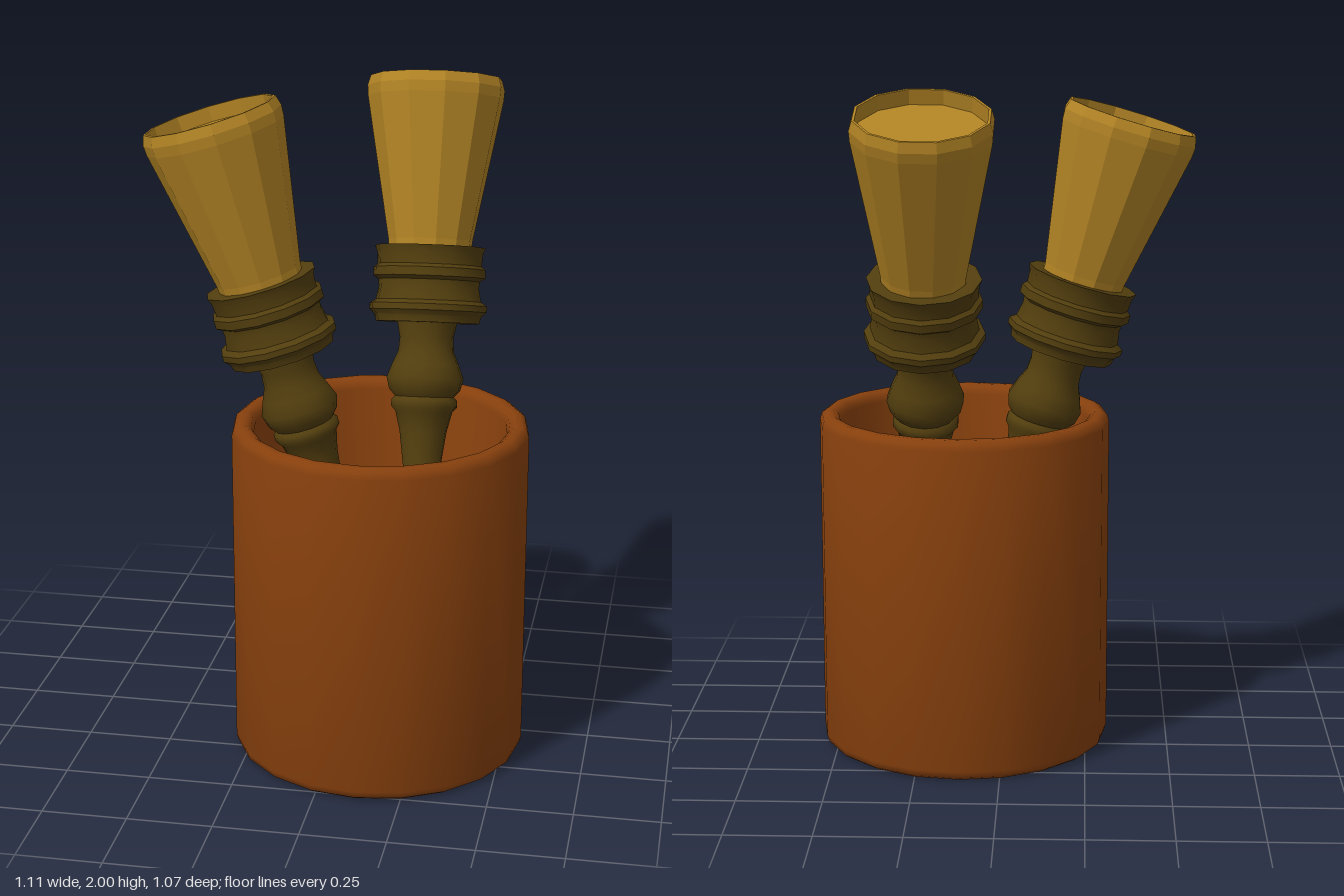
import * as THREE from 'three';
import { toCreasedNormals } from 'three/addons/utils/BufferGeometryUtils.js';

const paint = (name, color, flatShading = false) => {
  const m = new THREE.MeshStandardMaterial({ color, flatShading });
  m.name = name;
  return m;
};

// Turned part from [radius, height] pairs, listed from the bottom up the outside
function turned(name, points, sides, material, crease = 0.7) {
  const profile = points.map(([r, y]) => new THREE.Vector2(r, y));
  const geometry = toCreasedNormals(new THREE.LatheGeometry(profile, sides), crease);
  const mesh = new THREE.Mesh(geometry, material);
  mesh.name = name;
  return mesh;
}

export function createModel() {
  const clay = paint('brown clay', 0x87400d);
  const wood = paint('dark olive wood', 0x523e0e);
  const bristle = paint('golden bristle', 0xb08224, true);

  const model = new THREE.Group();
  model.name = 'brushesInCup';

  // Cup with rounded rim, hollow inside and a shallow recess underneath
  const cup = turned('cup', [
    [0, 0.05], [0.33, 0.05], [0.37, 0.03], [0.395, 0.003], [0.415, 0], [0.43, 0.01], [0.436, 0.03],
    [0.436, 0.99], [0.43, 1.01], [0.415, 1.02], [0.395, 1.02], [0.38, 1.01], [0.373, 0.99],
    [0.373, 0.24], [0.35, 0.15], [0.28, 0.1], [0, 0.09],
  ], 20, clay, 1.0);
  cup.position.set(0.12, 0, 0.1);
  model.add(cup);

  // Brush: local origin at the centre of the bristle end, handle pointing down
  function brush(name, position, axis) {
    const group = new THREE.Group();
    group.name = name;

    // Handle with a slim tip, long swell, collar and knob
    group.add(turned('handle', [
      [0, -1.95], [0.025, -1.94], [0.04, -1.9], [0.05, -1.84], [0.068, -1.77], [0.072, -1.73],
      [0.058, -1.68], [0.07, -1.6], [0.083, -1.5], [0.076, -1.4], [0.06, -1.27], [0.055, -1.16],
      [0.07, -1.05], [0.085, -0.99], [0.098, -0.975], [0.098, -0.955], [0.088, -0.945],
      [0.106, -0.925], [0.115, -0.89], [0.1, -0.85], [0.083, -0.81], [0.08, -0.77], [0.09, -0.72],
    ], 14, wood, 1.0));

    // Ferrule with two raised bands
    group.add(turned('ferrule', [
      [0, -0.725], [0.155, -0.725], [0.16, -0.705], [0.176, -0.69], [0.176, -0.672], [0.158, -0.66],
      [0.15, -0.62], [0.152, -0.6], [0.168, -0.59], [0.168, -0.565], [0.156, -0.555],
      [0.158, -0.52], [0.166, -0.5], [0.135, -0.5], [0, -0.51],
    ], 12, wood));

    // Flared bristles with a sunken end
    const hair = turned('bristles', [
      [0.122, -0.53], [0.126, -0.48], [0.203, -0.06], [0.205, -0.03], [0.196, 0],
      [0.188, 0], [0.186, -0.045], [0, -0.045],
    ], 12, bristle);
    hair.rotation.y = Math.PI / 12;
    group.add(hair);

    group.position.set(...position);
    group.quaternion.setFromUnitVectors(
      new THREE.Vector3(0, 1, 0), new THREE.Vector3(...axis).normalize());
    model.add(group);
  }

  brush('rightBrush', [-0.377, 1.9, 0.097], [-0.286, 0.958, 0]);
  brush('backBrush', [0.21, 1.942, -0.35], [-0.016, 0.953, -0.304]);
  return model;
}
